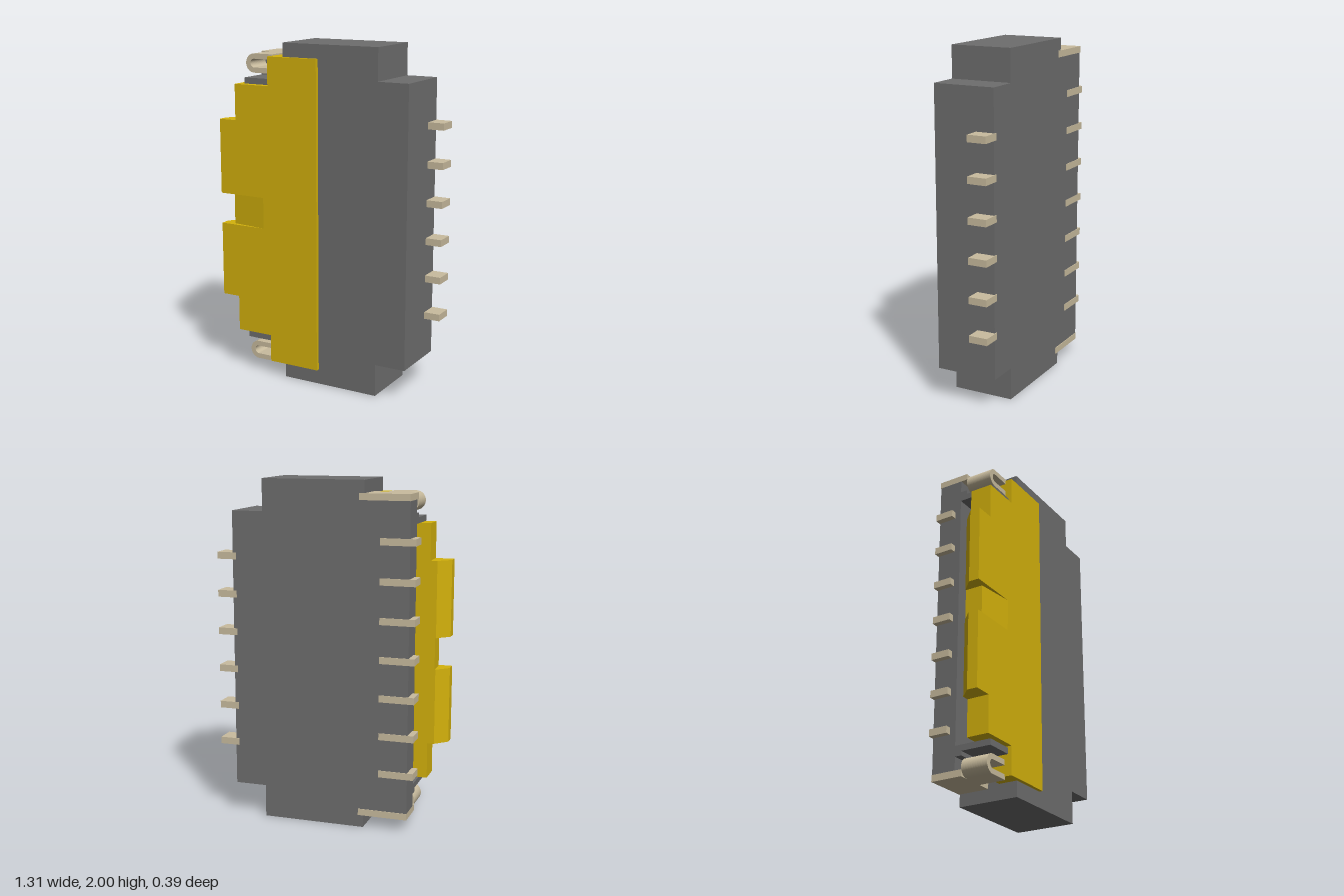
import * as THREE from 'three';

const DARK = new THREE.MeshStandardMaterial({ color: 0x6e6e6e });
const YELLOW = new THREE.MeshStandardMaterial({ color: 0xd4b20c });
const METAL = new THREE.MeshStandardMaterial({ color: 0xc9bc9e });

const Z_BACK = -0.193, Z_FRONT = 0.17, COVER_FRONT = 0.192;

export function createModel() {
  const model = new THREE.Group();

  function add(parent, name, geometry, material) {
    const mesh = new THREE.Mesh(geometry, material);
    mesh.name = name;
    parent.add(mesh);
    return mesh;
  }

  function group(name) {
    const g = new THREE.Group();
    g.name = name;
    model.add(g);
    return g;
  }

  // Box given by its limits along each axis
  function box(parent, name, material, [x0, x1], [y0, y1], [z0, z1]) {
    const geometry = new THREE.BoxGeometry(x1 - x0, y1 - y0, z1 - z0);
    geometry.translate((x0 + x1) / 2, (y0 + y1) / 2, (z0 + z1) / 2);
    return add(parent, name, geometry, material);
  }

  // Upright prism from an x, z profile
  function prism(parent, name, material, profile, y0, y1) {
    const shape = new THREE.Shape(profile.map(([x, z]) => new THREE.Vector2(x, -z)));
    const geometry = new THREE.ExtrudeGeometry(shape, { depth: y1 - y0, bevelEnabled: false });
    geometry.rotateX(-Math.PI / 2).translate(0, y0, 0);
    return add(parent, name, geometry, material);
  }

  // Housing: stepped main block and a shallow shelf behind the latch
  const housing = group('housing');
  const outline = new THREE.Shape([
    [-0.23, 0], [0.375, 0], [0.375, 0.19], [0.56, 0.19],
    [0.56, 1.815], [0.375, 1.815], [0.375, 2], [-0.23, 2],
  ].map(p => new THREE.Vector2(...p)));
  const block = new THREE.ExtrudeGeometry(outline, { depth: Z_FRONT - Z_BACK, bevelEnabled: false });
  block.translate(0, 0, Z_BACK);
  add(housing, 'mainBlock', block, DARK);
  box(housing, 'rearShelf', DARK, [-0.49, -0.23], [0.11, 1.89], [Z_BACK, -0.05]);
  box(housing, 'shelfStep', DARK, [-0.31, -0.23], [0.19, 1.81], [-0.05, 0.06]);

  // Latch cover with a deeper lip on its free edge
  const latch = group('latch');
  prism(latch, 'coverPlate', YELLOW, [
    [0, COVER_FRONT], [-0.32, COVER_FRONT], [-0.32, 0.06],
    [-0.23, 0.06], [-0.23, Z_FRONT], [0, Z_FRONT],
  ], 0.09, 1.92);
  for (const [y0, y1] of [[0.253, 0.91], [1.095, 1.752]]) {
    box(latch, 'lip', YELLOW, [-0.545, -0.32], [y0, y1], [0.06, COVER_FRONT]);
  }
  // Sloping finger recess between the lugs
  prism(latch, 'fingerRecess', YELLOW, [
    [-0.32, COVER_FRONT], [-0.36, COVER_FRONT], [-0.58, 0.165],
    [-0.58, 0.06], [-0.32, 0.06],
  ], 0.91, 1.095);
  // Lugs chamfered at the back
  for (const [y0, y1] of [[0.465, 0.91], [1.095, 1.54]]) {
    prism(latch, 'lug', YELLOW, [
      [-0.545, COVER_FRONT], [-0.655, COVER_FRONT], [-0.655, 0.13],
      [-0.585, 0.06], [-0.545, 0.06],
    ], y0, y1);
  }

  // Hairpin strip bent round a half circle, open towards +x
  const hairpin = new THREE.Shape();
  const r = 0.055, inner = 0.025, bend = -0.435, end = -0.315;
  hairpin.moveTo(end, r);
  hairpin.lineTo(bend, r);
  hairpin.absarc(bend, 0, r, Math.PI / 2, Math.PI * 1.5, false);
  hairpin.lineTo(end, -r);
  hairpin.lineTo(end, -inner);
  hairpin.lineTo(bend, -inner);
  hairpin.absarc(bend, 0, inner, Math.PI * 1.5, Math.PI / 2, true);
  hairpin.lineTo(end, inner);

  // Solder tabs and end walls, mirrored top and bottom
  const tabs = group('solderTabs');
  for (const side of [1, -1]) {
    const span = (a, b) => [1 + side * a, 1 + side * b].sort((p, q) => p - q);
    const bent = new THREE.ExtrudeGeometry(hairpin, { depth: 0.16, bevelEnabled: false, curveSegments: 16 });
    bent.translate(0, 1 + side * 0.873, -0.01);
    add(tabs, 'hairpin', bent, METAL);
    box(tabs, 'tabPlate', METAL, [-0.49, -0.2], span(0.89, 0.928), [-0.197, -0.01]);
    box(housing, 'endWall', DARK, [-0.49, -0.23], span(0.755, 0.79), [-0.05, Z_FRONT]);
    box(housing, 'endLedge', DARK, [-0.49, -0.23], span(0.79, 0.815), [-0.05, -0.01]);
  }

  // Contact pins: seven on the latch side, six on the other
  const pins = group('pins');
  const pitch = 0.222;
  for (let i = -3; i <= 3; i++) {
    const y = 1 + i * pitch;
    box(pins, 'latchSidePin', METAL, [-0.525, -0.32], [y - 0.02, y + 0.02], [-0.197, -0.085]);
  }
  for (let i = -2.5; i <= 2.5; i++) {
    const y = 1 + i * pitch;
    box(pins, 'plainSidePin', METAL, [0.54, 0.655], [y - 0.02, y + 0.02], [-0.197, -0.085]);
  }

  return model;
}
